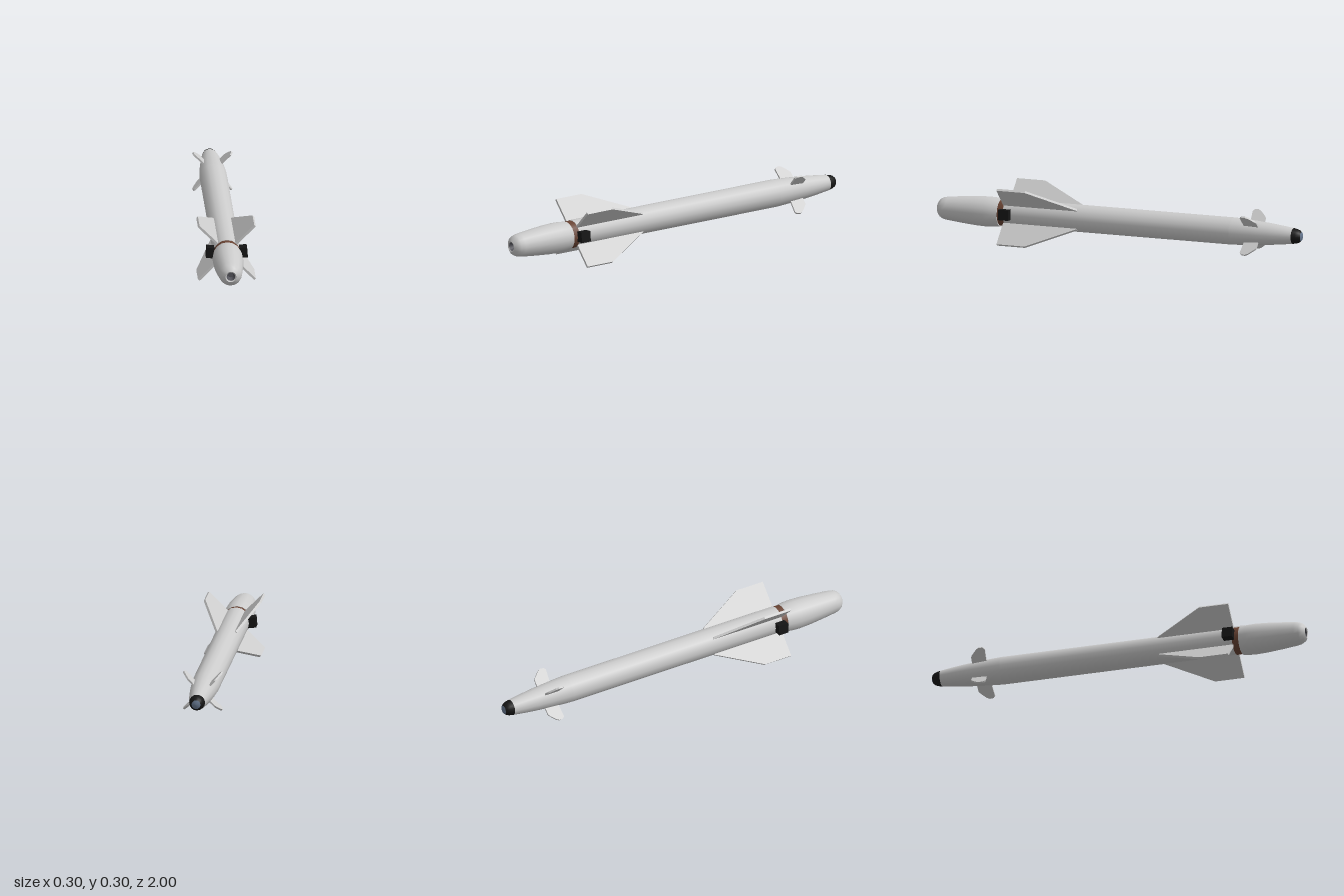
import * as THREE from 'three';

const BODY_Y = 0.147, BOOSTER_Y = 0.143, FIN_Y = 0.149;

const grey = new THREE.MeshStandardMaterial({ color: 0xcccccc });
const black = new THREE.MeshStandardMaterial({ color: 0x151515 });
const brown = new THREE.MeshStandardMaterial({ color: 0x6a4434 });
const glass = new THREE.MeshStandardMaterial({ color: 0x66778f });
const dark = new THREE.MeshStandardMaterial({ color: 0x55555c });

export function createModel() {
  const group = new THREE.Group();

  const add = (name, geometry, material, y) => {
    const mesh = new THREE.Mesh(geometry, material);
    mesh.name = name;
    mesh.position.y = y;
    group.add(mesh);
    return mesh;
  };

  // Turned part along z; points are [radius, z] from nose to tail
  const turned = (name, points, material, y, sides = 16) => {
    const profile = points.map(([r, z]) => new THREE.Vector2(r, z));
    const geometry = new THREE.LatheGeometry(profile, sides);
    geometry.rotateX(Math.PI / 2);
    return add(name, geometry, material, y);
  };

  // Nose: seeker window and black tip
  turned('seekerWindow', [[0, -1], [0.012, -0.999], [0.023, -0.994]], glass, BODY_Y);
  turned('noseTip', [[0.023, -0.994], [0.031, -0.985], [0.037, -0.97], [0.041, -0.95]], black, BODY_Y);

  // Main body
  turned('noseSection', [[0.041, -0.95], [0.049, -0.89], [0.057, -0.82], [0.064, -0.74],
    [0.069, -0.66], [0.071, -0.62]], grey, BODY_Y);
  turned('mainBody', [[0.071, -0.62], [0.071, 0.622]], grey, BODY_Y);
  turned('bodyEnd', [[0.071, 0.622], [0, 0.622]], grey, BODY_Y);

  // Joint between body and booster
  turned('jointRing', [[0.071, 0.621], [0.069, 0.657]], brown, 0.145);

  // Booster with recessed nozzle
  turned('boosterFront', [[0, 0.655], [0.073, 0.655]], grey, BOOSTER_Y);
  turned('booster', [[0.073, 0.655], [0.077, 0.69], [0.0785, 0.73], [0.076, 0.79], [0.069, 0.87],
    [0.061, 0.945], [0.056, 0.97], [0.046, 0.988], [0.028, 1]], grey, BOOSTER_Y);
  turned('nozzleRim', [[0.028, 1], [0.022, 0.996]], grey, BOOSTER_Y);
  turned('nozzleWall', [[0.022, 0.996], [0.013, 0.965]], dark, BOOSTER_Y);
  turned('nozzleFloor', [[0.013, 0.965], [0, 0.965]], dark, BOOSTER_Y);

  // Flat plate from [radius, z] corners, set at an angle around the body
  const plate = (points, thickness, angle) => {
    const shape = new THREE.Shape(points.map(([r, z]) => new THREE.Vector2(r, -z)));
    const geometry = new THREE.ExtrudeGeometry(shape, { depth: thickness, bevelEnabled: false });
    geometry.translate(0, 0, -thickness / 2);
    geometry.rotateX(-Math.PI / 2);
    geometry.rotateZ(angle);
    return geometry;
  };

  // Four tail fins and four small forward fins, in an X
  const tailFin = [[0.05, 0.625], [0.204, 0.625], [0.204, 0.47], [0.073, 0.22], [0.05, 0.22]];
  const noseFin = [[0.04, -0.698], [0.13, -0.692], [0.139, -0.702], [0.141, -0.722], [0.132, -0.738],
    [0.104, -0.766], [0.095, -0.772], [0.04, -0.774]];
  for (let i = 0; i < 4; i++) {
    const angle = Math.PI / 4 + i * Math.PI / 2;
    add('tailFin', plate(tailFin, 0.012, angle), grey, FIN_Y);
    add('forwardFin', plate(noseFin, 0.009, angle), grey, BODY_Y);
  }

  // Black side blocks by the joint
  for (const side of [1, -1]) {
    const block = add('sideBlock', new THREE.BoxGeometry(0.055, 0.054, 0.055), black, 0.151);
    block.position.set(side * 0.078, 0.151, 0.606);
    block.rotation.z = side * 0.08;
  }

  return group;
}
